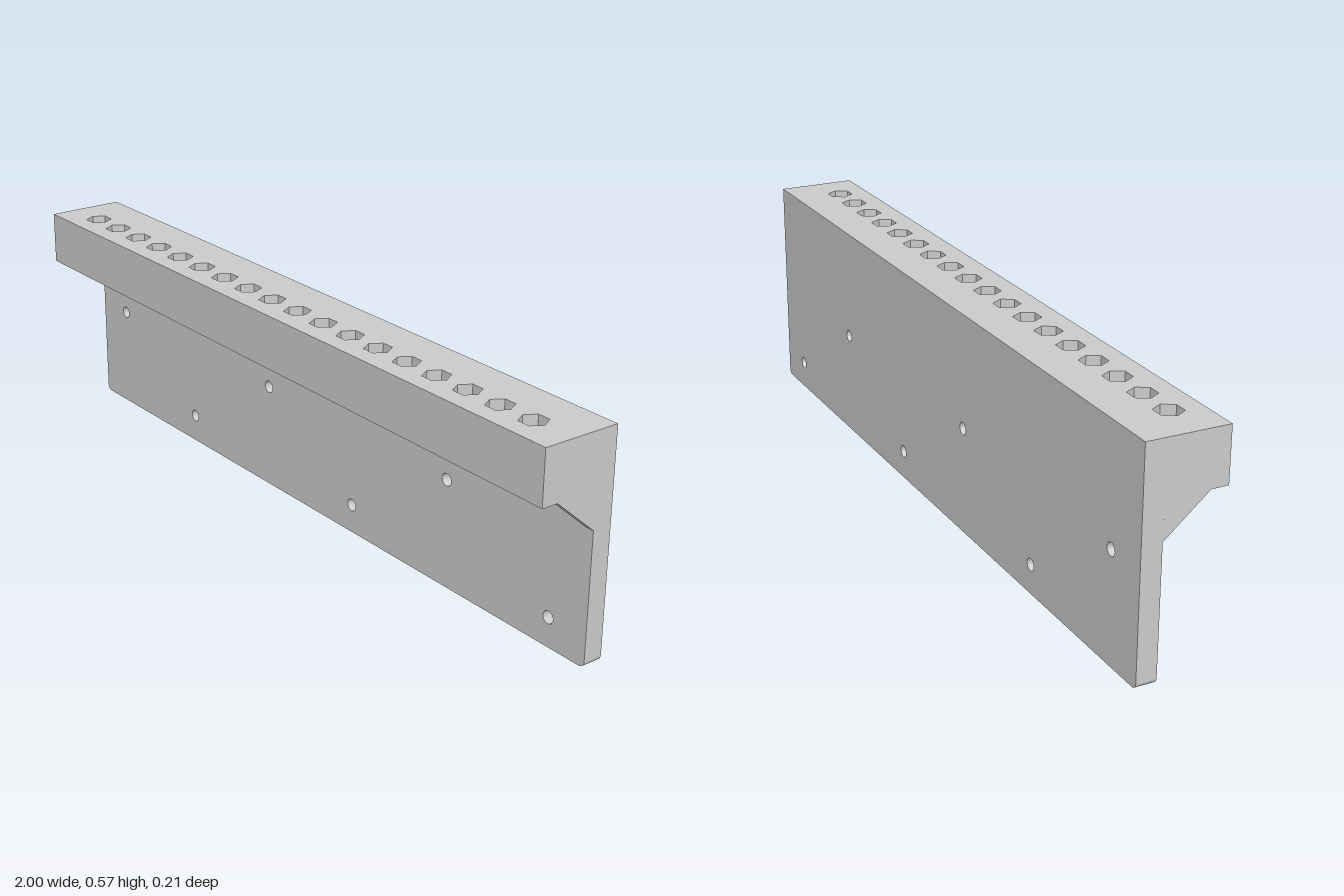
import * as THREE from 'three';

const TOP = 0.57, HEAD_BOTTOM = 0.432;
const BACK = -0.103, FRONT = 0.103, PLATE_FRONT = -0.052;
const SOCKETS = 18, SOCKET_R = 0.034, SOCKET_Z = 0.025, SOCKET_FLOOR = 0.45;
const SPAN = 0.882; // outermost socket and screw hole positions

const material = new THREE.MeshStandardMaterial({ color: 0xcccccc });

function addPart(parent, name, geometry) {
  const mesh = new THREE.Mesh(geometry, material);
  mesh.name = name;
  parent.add(mesh);
  return mesh;
}

function polygon(points) {
  return new THREE.Shape(points.map(([x, y]) => new THREE.Vector2(x, y)));
}

function extrude(shape, depth) {
  return new THREE.ExtrudeGeometry(shape, { depth, bevelEnabled: false, curveSegments: 8 });
}

export function createModel() {
  const group = new THREE.Group();
  group.name = 'wallToolHolder';

  // Mounting plate with rounded lower corners and staggered screw holes
  const r = 0.016;
  const plate = new THREE.Shape();
  plate.moveTo(-1 + r, 0);
  plate.lineTo(1 - r, 0);
  plate.absarc(1 - r, r, r, -Math.PI / 2, 0, false);
  plate.lineTo(1, HEAD_BOTTOM);
  plate.lineTo(-1, HEAD_BOTTOM);
  plate.lineTo(-1, r);
  plate.absarc(-1 + r, r, r, Math.PI, Math.PI * 1.5, false);
  for (let i = 0; i < 6; i++) {
    const x = -SPAN + (i * 2 * SPAN) / 5;
    const y = i % 2 ? 0.074 : 0.277;
    plate.holes.push(new THREE.Path().absarc(x, y, 0.016, 0, Math.PI * 2, true));
  }
  addPart(group, 'mountingPlate', extrude(plate, PLATE_FRONT - BACK)).position.z = BACK;

  // Head block, drawn in plan (shape y = -z), with a row of hexagonal sockets
  const head = polygon([[-1, -FRONT], [1, -FRONT], [1, -BACK], [-1, -BACK]]);
  const socketX = (i) => -SPAN + (i * 2 * SPAN) / (SOCKETS - 1);
  for (let i = 0; i < SOCKETS; i++) {
    const hex = new THREE.Path();
    hex.setFromPoints(Array.from({ length: 6 }, (_, k) => {
      const a = (-k * Math.PI) / 3;
      return new THREE.Vector2(
        socketX(i) + SOCKET_R * Math.cos(a), -SOCKET_Z + SOCKET_R * Math.sin(a));
    }));
    hex.closePath();
    head.holes.push(hex);
  }
  const headGeometry = extrude(head, TOP - HEAD_BOTTOM).rotateX(-Math.PI / 2);
  addPart(group, 'socketHead', headGeometry).position.y = HEAD_BOTTOM;

  // Solid floors closing the sockets
  const floorHeight = SOCKET_FLOOR - HEAD_BOTTOM;
  const floor = new THREE.CylinderGeometry(SOCKET_R, SOCKET_R, floorHeight, 6)
    .toNonIndexed().rotateY(Math.PI / 6);
  floor.computeVertexNormals();
  for (let i = 0; i < SOCKETS; i++) {
    addPart(group, 'socketFloor', floor)
      .position.set(socketX(i), HEAD_BOTTOM + floorHeight / 2, SOCKET_Z);
  }

  // Triangular braces at both ends, drawn in side view (shape x = -z)
  const width = 0.025;
  const brace = extrude(polygon([
    [-PLATE_FRONT, 0.336], [-PLATE_FRONT, HEAD_BOTTOM], [-0.06, HEAD_BOTTOM],
  ]), width).rotateY(Math.PI / 2);
  for (const [name, x] of [['leftBrace', 1 - width], ['rightBrace', -1]]) {
    addPart(group, name, brace).position.x = x;
  }

  return group;
}
